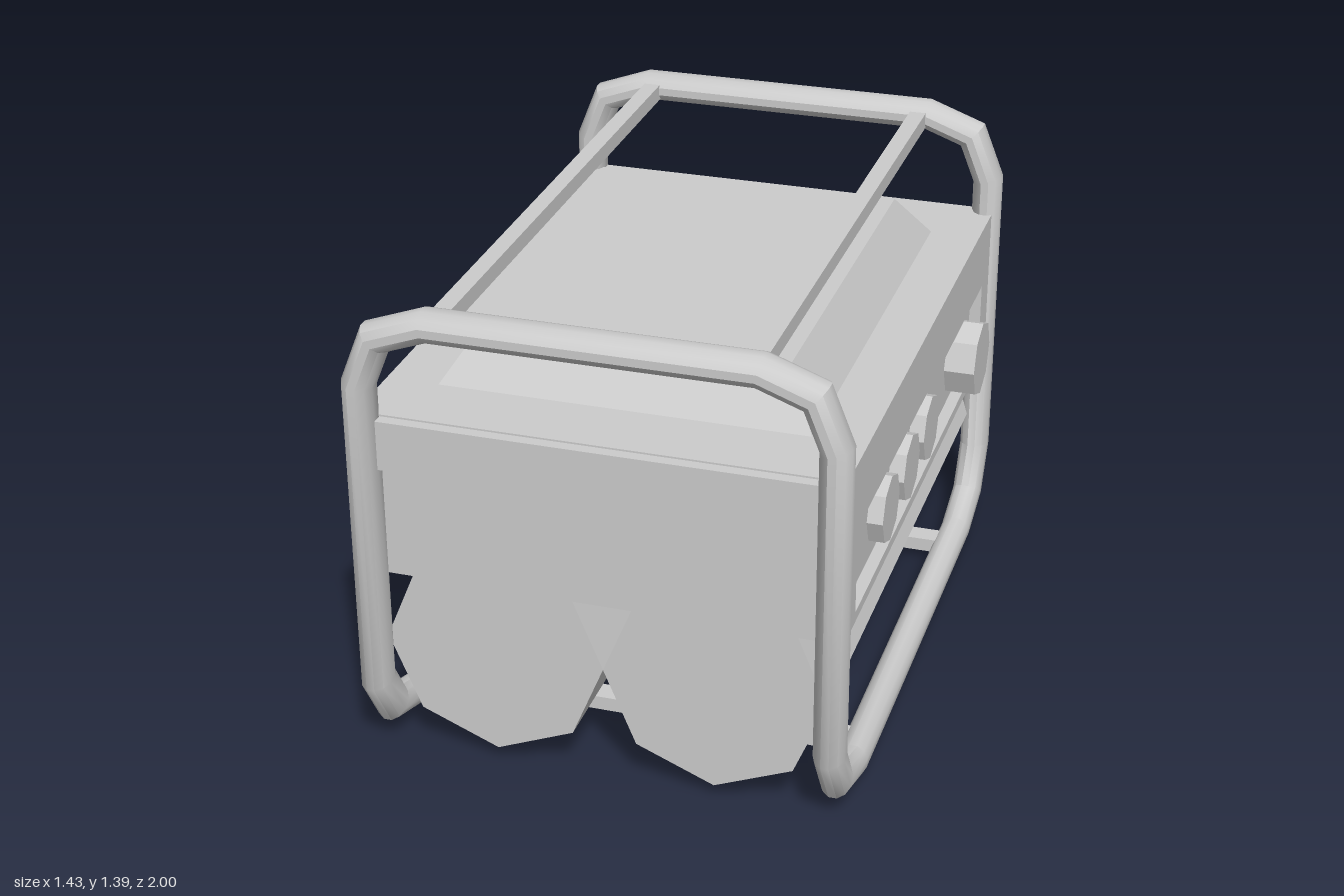
import * as THREE from 'three';
import { toCreasedNormals } from 'three/addons/utils/BufferGeometryUtils.js';

const CX = -0.022;      // middle of the frame; the knob sticks out on the left side
const Z_STRETCH = 1.35; // the tubing is wider along z

const grey = new THREE.MeshStandardMaterial({ color: 0xcccccc, flatShading: true });
const smooth = new THREE.MeshStandardMaterial({ color: 0xcccccc });

function add(parent, name, geometry, x = 0, y = 0, z = 0, material = grey) {
  const mesh = new THREE.Mesh(geometry, material);
  mesh.name = name;
  mesh.position.set(x, y, z);
  parent.add(mesh);
  return mesh;
}

// Box given by its limits
function addBox(parent, name, x0, x1, y0, y1, z0, z1) {
  return add(parent, name, new THREE.BoxGeometry(x1 - x0, y1 - y0, z1 - z0),
    (x0 + x1) / 2, (y0 + y1) / 2, (z0 + z1) / 2);
}

// Round tube along a closed path with mitred bends; first segment runs along +x
function mitredLoop(path, radius, sides) {
  const n = path.length;
  const dir = (i) => path[(i + 1) % n].clone().sub(path[i % n]).normalize();
  let ring = [];
  for (let j = 0; j < sides; j++) {
    const a = ((j + 0.5) / sides) * Math.PI * 2;
    ring.push(new THREE.Vector3(0, Math.cos(a) * radius, Math.sin(a) * radius).add(path[0]));
  }
  const positions = [], index = [];
  for (let i = 0; i < n; i++) {
    if (i > 0) {
      const d = dir(i - 1);
      const normal = d.clone().add(dir(i));
      ring = ring.map((p) => p.clone().addScaledVector(d,
        path[i].clone().sub(p).dot(normal) / d.dot(normal)));
    }
    ring.forEach((p) => positions.push(p.x, p.y, p.z));
    for (let j = 0; j < sides; j++) {
      const k = (j + 1) % sides, next = ((i + 1) % n) * sides;
      const a = i * sides + j, b = i * sides + k;
      index.push(a, b, next + j, b, next + k, next + j);
    }
  }
  const geometry = new THREE.BufferGeometry();
  geometry.setAttribute('position', new THREE.Float32BufferAttribute(positions, 3));
  geometry.setIndex(index);
  return geometry;
}

function buildFrame(parent) {
  const Z = 0.696;
  // One corner: from the arch, down the leg, into the bottom rail
  const corner = [
    [0.45, 1.348, Z], [0.595, 1.295, Z], [0.65, 1.157, Z],
    [0.65, 0.235, Z], [0.65, 0.1, Z - 0.063], [0.65, 0.045, Z - 0.19],
  ];
  const path = [new THREE.Vector3(0, 1.348, Z)];
  [[1, 1], [1, -1], [-1, -1], [-1, 1]].forEach(([sx, sz], q) => {
    const points = corner.map(([x, y, z]) => new THREE.Vector3(x * sx, y, z * sz));
    path.push(...(q % 2 ? points.reverse() : points));
  });
  const tube = mitredLoop(path, 0.045, 12);
  tube.scale(1, 1, Z_STRETCH);
  add(parent, 'tubeFrame', toCreasedNormals(tube, 0.6), 0, 0, 0, smooth);

  for (const s of [-1, 1]) {
    addBox(parent, 'topBar', s * 0.43 - 0.025, s * 0.43 + 0.025, 1.32, 1.368, -0.93, 0.93);
    addBox(parent, 'bottomBar', -0.65, 0.65, 0.025, 0.067, s * 0.58 - 0.034, s * 0.58 + 0.034);
  }
}

function buildBody(parent) {
  const H = 0.675, floor = 0.64, depth = 0.92;
  addBox(parent, 'housing', -H, floor, 0.57, 1.055, -depth, depth);
  for (const s of [-1, 1]) {
    const z0 = s * 0.9, z1 = s * 0.953;
    addBox(parent, 'endStrip', -0.66, 0.66, 0.905, 1.05, Math.min(z0, z1), Math.max(z0, z1));
  }

  // Left wall with the opening of the control panel; shape x runs along -z
  const wall = new THREE.Shape([
    new THREE.Vector2(-depth, 0.57), new THREE.Vector2(depth, 0.57),
    new THREE.Vector2(depth, 1.055), new THREE.Vector2(-depth, 1.055),
  ]);
  wall.holes.push(new THREE.Path([
    new THREE.Vector2(-0.8, 0.6), new THREE.Vector2(-0.8, 0.855),
    new THREE.Vector2(0.79, 0.855), new THREE.Vector2(0.79, 0.6),
  ]));
  const wallGeometry = new THREE.ExtrudeGeometry(wall, { depth: H - floor, bevelEnabled: false });
  wallGeometry.rotateY(Math.PI / 2);
  add(parent, 'panelWall', wallGeometry, floor, 0, 0);

  // Dials and the larger knob
  const dial = (name, z, radius, tip) => {
    const geometry = new THREE.CylinderGeometry(radius, radius, tip - floor, 8);
    geometry.rotateZ(-Math.PI / 2);
    add(parent, name, geometry, (tip + floor) / 2, 0.73, z);
  };
  for (const z of [0.45, 0.2, -0.05]) dial('dial', z, 0.1, 0.685);
  dial('knob', -0.54, 0.117, 0.732);

  // Raised cover: a box whose upper face is drawn in
  const cover = new THREE.BoxGeometry(1.05, 0.147, 1.42);
  const p = cover.attributes.position;
  for (let i = 0; i < p.count; i++) {
    if (p.getY(i) > 0) {
      p.setX(i, Math.sign(p.getX(i)) * 0.433);
      p.setZ(i, Math.sign(p.getZ(i)) * 0.588);
    }
  }
  cover.computeVertexNormals();
  add(parent, 'topCover', cover, 0, 1.1265, 0);
}

function buildTanks(parent) {
  for (const s of [-1, 1]) {
    const geometry = new THREE.CylinderGeometry(0.315, 0.315, 1.8, 8);
    geometry.rotateX(Math.PI / 2);
    add(parent, 'tank', geometry, s * 0.315, 0.355, 0);
  }
}

export function createModel() {
  const model = new THREE.Group();
  model.name = 'generator';
  for (const [name, build] of [['frame', buildFrame], ['body', buildBody], ['tanks', buildTanks]]) {
    const part = new THREE.Group();
    part.name = name;
    part.position.x = CX;
    build(part);
    model.add(part);
  }
  return model;
}
